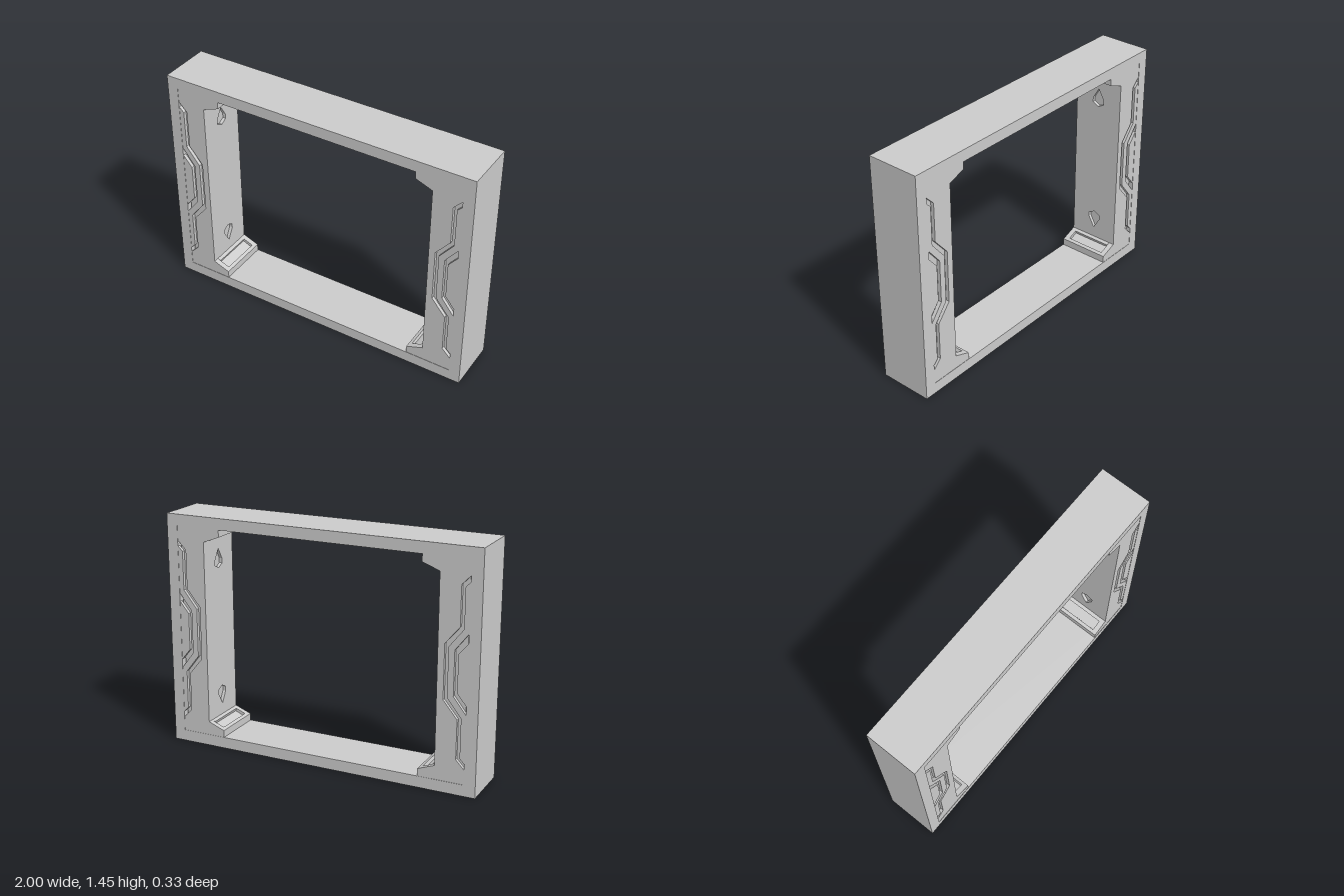
import * as THREE from 'three';

const MID = 0.725;   // half the height
const D = 0.165;     // half the depth of the frame
const material = new THREE.MeshStandardMaterial({ color: 0xcccccc });

// Mirrors an upper half line [x, height above the middle] into the full line, top to bottom.
const mirrorDown = (half) => [...half, ...half.map(([x, y]) => [x, -y]).reverse()];
const shapeOf = (pts) => new THREE.Shape(pts.map(([x, y]) => new THREE.Vector2(x, y)));

function slab(name, shape, z0, z1) {
  const geometry = new THREE.ExtrudeGeometry(shape, { depth: z1 - z0, bevelEnabled: false });
  const mesh = new THREE.Mesh(geometry, material);
  mesh.position.z = z0;
  mesh.name = name;
  return mesh;
}

// Rectangular outer frame
function frame() {
  const rect = (x, y) => [[-x, -y], [x, -y], [x, y], [-x, y]];
  const shape = shapeOf(rect(1, MID));
  shape.holes.push(shapeOf(rect(0.93, 0.655)));
  return slab('frame', shape, -D, D);
}

// Edges of the two decorative grooves, upper halves
const grooveA = [[0.93, 0.565], [0.877, 0.51], [0.877, 0.27], [0.79, 0.165]];
const grooveB = [[0.93, 0.53], [0.9, 0.5], [0.9, 0.26], [0.813, 0.15]];
const grooveC = [[0.93, 0.238], [0.85, 0.135]];
const grooveD = [[0.93, 0.185], [0.872, 0.115]];

// Inner outline of a panel with its corner brackets, upper half
const bracketEdge = [[0.645, 0.655], [0.645, 0.61], [0.75, 0.57]];

function sidePanel() {
  const panel = new THREE.Group();

  // Core, with a pocket in each bracket slope
  const core = mirrorDown([[0.92, 0.655], [0.645, 0.655], [0.645, 0.61], [0.666, 0.602],
    [0.673, 0.621], [0.734, 0.595], [0.727, 0.576], [0.75, 0.57], [0.77, 0.57]]);
  panel.add(slab('panelCore', shapeOf(core), -0.13, 0.13));

  // Inner facing with tapered recesses near both ends
  const facing = shapeOf([[-0.13, -0.57], [0.13, -0.57], [0.13, 0.57], [-0.13, 0.57]]);
  for (const s of [-1, 1]) {
    facing.holes.push(shapeOf([[0, 0.5], [0.04, 0.43], [0.04, 0.4],
      [0, 0.38], [-0.04, 0.4], [-0.04, 0.43]].map(([z, y]) => [z, y * s])));
  }
  const face = slab('innerFacing', facing, 0, 0.02);
  face.rotation.y = Math.PI / 2;
  face.position.set(0.75, 0, 0);
  panel.add(face);

  // Front and back plates: solid groove floor, then the raised sheets between grooves
  const floor = shapeOf([[0.92, 0.655], ...mirrorDown(bracketEdge), [0.92, -0.655]]);
  const outer = shapeOf([[0.93, 0.655], ...mirrorDown(bracketEdge), [0.93, -0.655],
    ...mirrorDown(grooveA).reverse()]);
  const band = shapeOf([...mirrorDown(grooveB), ...mirrorDown(grooveC).reverse()]);
  const centre = shapeOf(mirrorDown(grooveD));
  for (const s of [-1, 1]) {
    const add = (name, shape, a, b) =>
      panel.add(slab(name, shape, Math.min(s * a, s * b), Math.max(s * a, s * b)));
    add('grooveFloor', floor, 0.13, 0.142);
    add('panelSheet', outer, 0.142, 0.163);
    add('raisedBand', band, 0.142, 0.163);
    add('centreTrim', centre, 0.142, 0.163);
  }
  return panel;
}

export function createModel() {
  const model = new THREE.Group();
  model.name = 'rectangularFrame';
  const body = new THREE.Group();
  body.name = 'body';
  body.position.y = MID;
  body.add(frame());

  // The panel is symmetric in depth, so a half turn makes the opposite one
  const left = sidePanel();
  left.name = 'leftPanel';
  const right = sidePanel();
  right.name = 'rightPanel';
  right.rotation.y = Math.PI;
  body.add(left, right);

  model.add(body);
  return model;
}
